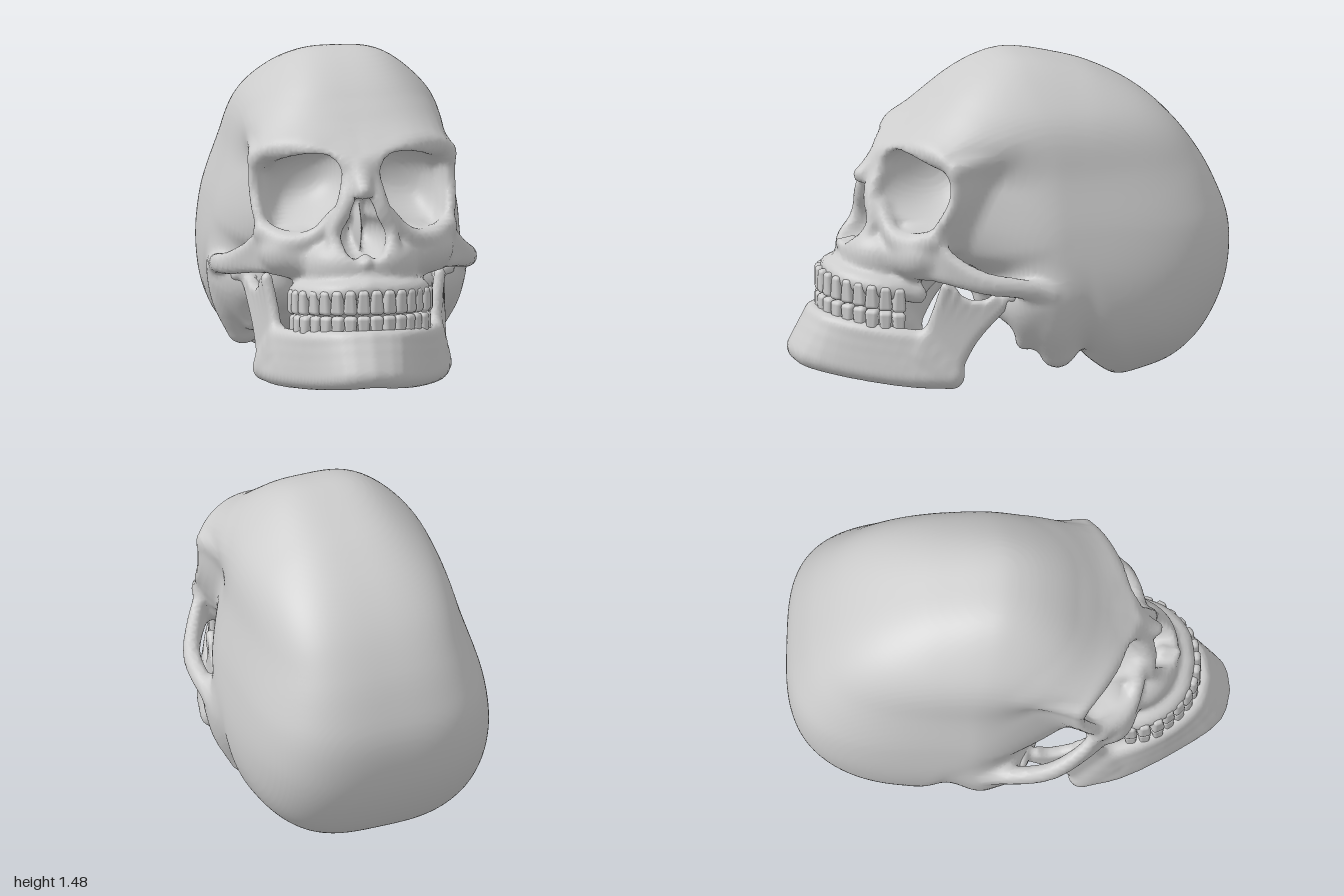
import * as THREE from 'three';
import { RoundedBoxGeometry } from 'three/addons/geometries/RoundedBoxGeometry.js';

const bone = new THREE.MeshStandardMaterial({ color: 0xcccccc });
bone.name = 'bone grey';

// ---- solid-shape helpers: each gives a signed distance (negative inside) ----
const join = (a, b, k) => {
  const h = Math.max(k - Math.abs(a - b), 0) / k;
  return Math.min(a, b) - h * h * k / 4;
};
const cut = (a, b, k) => -join(-a, b, k);
const smooth = (a, b, v) => THREE.MathUtils.smoothstep(v, a, b);
const blob = (x, y, z, rx, ry, rz, p = 2) =>
  (Math.pow(Math.abs(x / rx) ** p + Math.abs(y / ry) ** p + Math.abs(z / rz) ** p, 1 / p) - 1) * Math.min(rx, ry, rz);

// Rounded bar along a smooth curve, radius running from r0 to r1
function bar(points, r0, r1 = r0) {
  const n = points.length > 2 ? 12 : 1;
  const c = new THREE.CatmullRomCurve3(points.map(p => new THREE.Vector3(...p))).getPoints(n);
  const ball = new THREE.Sphere().setFromPoints(c);
  return (x, y, z) => {
    const far = Math.hypot(x - ball.center.x, y - ball.center.y, z - ball.center.z) - ball.radius - Math.max(r0, r1);
    if (far > 0.2) return far;
    let best = Infinity;
    for (let i = 0; i < n; i++) {
      const a = c[i], b = c[i + 1];
      const dx = b.x - a.x, dy = b.y - a.y, dz = b.z - a.z;
      const px = x - a.x, py = y - a.y, pz = z - a.z;
      const t = Math.min(1, Math.max(0, (px * dx + py * dy + pz * dz) / (dx * dx + dy * dy + dz * dz)));
      best = Math.min(best, Math.hypot(px - t * dx, py - t * dy, pz - t * dz) - r0 - (r1 - r0) * (i + t) / n);
    }
    return best;
  };
}

// Bars laid side by side between two edge curves, making a rounded plate
function plate(edgeA, edgeB, rA, rB, count) {
  const bars = [];
  for (let i = 0; i < count; i++) {
    const t = i / (count - 1);
    bars.push(bar(edgeA.map((p, j) => p.map((v, k) => v + (edgeB[j][k] - v) * t)), rA + (rB - rA) * t));
  }
  return (x, y, z) => bars.reduce((d, b) => join(d, b(x, y, z), 0.03), 9);
}

// Skin a solid slice by slice: one vertex per crossed cell, one quad per crossed edge
function skin(solid, min, max, step) {
  const n = min.map((v, i) => Math.ceil((max[i] - v) / step) + 1);
  const stride = [1, n[0], n[0] * n[1]];
  const value = new Float32Array(n[0] * n[1] * n[2]);
  const vertexOf = new Int32Array(value.length).fill(-1);
  const each = (from, to, fn) => {
    for (let k = from; k < n[2] - to; k++)
      for (let j = from; j < n[1] - to; j++)
        for (let i = from; i < n[0] - to; i++) fn(i, j, k, i + j * stride[1] + k * stride[2]);
  };
  each(0, 0, (i, j, k, id) => {
    value[id] = solid(Math.abs(min[0] + i * step), min[1] + j * step, min[2] + k * step);
  });
  const position = [], index = [];
  each(0, 1, (i, j, k, id) => {
    const sum = [0, 0, 0];
    let hits = 0;
    for (let c = 0; c < 8; c++) for (let a = 0; a < 3; a++) {
      if (c >> a & 1) continue;
      const o = [c & 1, c >> 1 & 1, c >> 2 & 1];
      const p = id + o[0] + o[1] * stride[1] + o[2] * stride[2];
      const v0 = value[p], v1 = value[p + stride[a]];
      if ((v0 < 0) === (v1 < 0)) continue;
      o[a] = v0 / (v0 - v1);
      o.forEach((v, q) => { sum[q] += v; });
      hits++;
    }
    if (!hits) return;
    vertexOf[id] = position.length / 3;
    [i, j, k].forEach((v, q) => position.push(min[q] + (v + sum[q] / hits) * step));
  });
  each(1, 1, (i, j, k, id) => {
    for (let a = 0; a < 3; a++) {
      const inside = value[id] < 0;
      if (inside === (value[id + stride[a]] < 0)) continue;
      const sb = stride[(a + 1) % 3], sc = stride[(a + 2) % 3];
      const q = [id - sb - sc, id - sc, id, id - sb].map(c => vertexOf[c]);
      if (!inside) q.reverse();
      index.push(q[0], q[1], q[2], q[0], q[2], q[3]);
    }
  });
  const g = new THREE.BufferGeometry();
  g.setAttribute('position', new THREE.Float32BufferAttribute(position, 3));
  g.setIndex(index);
  g.computeVertexNormals();
  return g;
}

// ---- braincase: side outline (z, y) swept around a middle point, with a width for each height ----
const CZ = -0.25, CY = 0.75;
const outline = [[.45, .75], [.5, .95], [.49, 1.1], [.4, 1.225], [.3, 1.335], [.2, 1.41], [.1, 1.46], [0, 1.485],
  [-.1, 1.48], [-.25, 1.447], [-.4, 1.4], [-.6, 1.295], [-.75, 1.17], [-.87, 1.01], [-.94, .87], [-.985, .74],
  [-.995, .62], [-.975, .46], [-.92, .31], [-.83, .17], [-.72, .075], [-.57, .02], [-.46, .005], [-.37, .06],
  [-.29, .13], [-.15, .19], [-.03, .27], [.06, .39], [.18, .53], [.35, .62]];
const radius = new Float32Array(362).fill(0.7);
const ring = new THREE.CatmullRomCurve3(outline.map(p => new THREE.Vector3(p[0] - CZ, p[1] - CY, 0)), true).getPoints(2000);
const degrees = (v, u) => (Math.atan2(v, u) * 180 / Math.PI + 360) % 360;
for (let i = 0; i < 2000; i++) {
  const a = degrees(ring[i].y, ring[i].x), b = degrees(ring[i + 1].y, ring[i + 1].x);
  for (let d = Math.ceil(a); d <= b && b - a < 90; d++)
    radius[d] = THREE.MathUtils.lerp(ring[i].length(), ring[i + 1].length(), (d - a) / (b - a || 1));
}
const widths = new THREE.SplineCurve([.51, .575, .584, .553, .498, .472, .36].map((w, i) => new THREE.Vector2(i * 0.25, w)))
  .getPoints(300).map(p => p.y);
function braincase(x, y, z) {
  const a = degrees(y - CY, z - CZ), i = Math.floor(a);
  const rho = Math.hypot(y - CY, z - CZ) / (radius[i] + (radius[i + 1] - radius[i]) * (a - i));
  const h = Math.min(299.9, Math.max(0, y * 200)), j = Math.floor(h);
  const w = (widths[j] + (widths[j + 1] - widths[j]) * (h - j))
    * (1 - 0.18 * smooth(-0.15, 0.3, z) * (1 - smooth(0.95, 1.2, y)));
  return (Math.pow(rho ** 3.3 + (x / w) ** 3.3, 1 / 3.3) - 1) * 0.55;
}

// ---- face bones, given for one side and mirrored ----
const brow = plate([[.435, 1.05, .335], [.4, 1.095, .37], [.25, 1.118, .455], [.1, 1.075, .53], [0, 1.05, .55]],
  [[.35, 1.13, .1], [.32, 1.16, .18], [.23, 1.18, .25], [.1, 1.18, .31], [0, 1.18, .32]], .034, .045, 5);
const socketWall = plate([[.445, 1.07, .335], [.446, .92, .338], [.435, .8, .4], [.405, .7, .45]],
  [[.385, 1.09, .14], [.345, .92, .13], [.33, .8, .15], [.32, .7, .25]], .026, .045, 6);
const lowerRim = bar([[.42, .74, .43], [.31, .71, .54], [.21, .74, .58], [.12, .83, .6]], .042, .033);
const cheekArch = plate([[.42, .73, .42], [.48, .65, .35], [.547, .578, .22], [.565, .545, .08], [.55, .51, -.08]],
  [[.38, .58, .46], [.455, .565, .37], [.542, .535, .22], [.565, .52, .08], [.55, .48, -.08]], .027, .027, 4);
const upperRidge = bar([[.275, .455, .47], [.27, .485, .6], [.215, .5, .71], [.125, .515, .78], [0, .53, .802]], .042);
const noseEdge = bar([[.05, .99, .58], [.085, .88, .64], [.135, .76, .645], [.115, .65, .69]], .03, .026);
const noseBridge = bar([[0, 1.035, .565], [0, .955, .665]], .05, .034);
const noseSpine = bar([[0, .64, .7], [0, .648, .765]], .035, .015);
const mastoid = bar([[.46, .42, -.07], [.46, .32, -.1], [.42, .19, -.14]], .11, .075);
const earBase = bar([[.48, .46, .0], [.45, .34, .01], [.4, .24, .01]], .06, .035);
const pterygoid = bar([[.14, .62, .35], [.17, .46, .43]], .07, .04);

function skull(x, y, z) {
  let d = join(braincase(x, y, z), mastoid(x, y, z), .13);
  d = join(d, earBase(x, y, z), .08);
  if (z > -0.3) {
    d = join(d, blob(x - .33, y - .42, z + .02, .18, .13, .16), .06);
    d = join(d, blob(x, y - .82, z - .45, .2, .28, .23), .05);
    d = join(d, blob(x, y - .61, z - .5, .27, .15, .27, 2.3), .05);
    d = join(d, blob(x - .29, y - .65, z - .46, .15, .12, .125), .05);
    d = join(d, brow(x, y, z), .1);
    d = join(d, join(pterygoid(x, y, z), upperRidge(x, y, z), .03), .05);
    // eye sockets, nose opening and palate
    d = cut(d, blob(x - .26 - .22 * (z - .45), y - .925 + .28 * (x - .27), z - .48, .212, .167, .28, 2.4), .02);
    d = cut(d, blob(x, y - .74, z - .66, .108, .105, .24), .015);
    d = cut(d, blob(x, y - .83, z - .66, .068, .105, .2), .015);
    d = cut(d, blob(x, y - .45, z - .55, .2, .09, .2), .03);
    for (const part of [socketWall, lowerRim, cheekArch, noseEdge, noseBridge, noseSpine]) d = join(d, part(x, y, z), .028);
    d = join(d, blob(x, y - .76, z - .46, .016, .13, .13), .02);
  }
  return cut(d, blob(x, y - .12, z + .28, .1, .13, .12), .04);
}

// ---- lower jaw ----
const jawBody = plate([[.395, .095, .34], [.355, .1, .5], [.225, .125, .75], [.1, .155, .92], [0, .165, .945]],
  [[.35, .26, .46], [.3, .275, .6], [.22, .295, .745], [.115, .31, .85], [0, .315, .877]], .056, .043, 4);
const ramus = plate([[.4, .1, .34], [.41, .27, .25], [.43, .44, .1]],
  [[.36, .2, .48], [.37, .36, .41], [.395, .51, .365]], .029, .026, 6);
const condyle = bar([[.39, .47, .08], [.48, .475, .07]], .032);
function jaw(x, y, z) {
  let d = cut(ramus(x, y, z), blob(x - .42, y - .535, z - .225, .15, .09, .1), .02);
  d = join(d, condyle(x, y, z), .03);
  return join(d, jawBody(x, y, z), .04);
}

// ---- teeth along a curved row, on a bite line that drops toward the back ----
function toothRow(name, inset, side, height) {
  const row = new THREE.Group();
  row.name = name;
  const half = [[.295, .53], [.28, .63], [.22, .74], [.12, .82]];
  const pts = [...half.map(p => [-p[0], p[1]]), [0, .845], ...half.slice().reverse()];
  const arch = new THREE.CatmullRomCurve3(pts.map(p => new THREE.Vector3(p[0] * (1 - inset), 0, p[1])));
  const count = 16, w = arch.getLength() / count;
  for (let i = 0; i < count; i++) {
    const u = (i + 0.5) / count, p = arch.getPointAt(u), t = arch.getTangentAt(u);
    const g = new RoundedBoxGeometry(w, height, Math.abs(u - 0.5) > 0.3 ? .075 : .05, 2, .018);
    const v = g.attributes.position;
    // crowns narrow toward the root
    for (let k = 0; k < v.count; k++) v.setX(k, v.getX(k) * (0.9 - 0.35 * side * v.getY(k) / height));
    const tooth = new THREE.Mesh(g, bone);
    tooth.name = 'tooth';
    tooth.position.set(p.x, .38 + .14 * (p.z - .55) + side * (height / 2 + .003), p.z);
    tooth.rotation.y = Math.atan2(-t.z, t.x);
    row.add(tooth);
  }
  return row;
}

export function createModel() {
  const model = new THREE.Group();
  model.name = 'skull';
  const cranium = new THREE.Mesh(skin(skull, [-.704, -.06, -1.07], [.704, 1.56, .9], .016), bone);
  cranium.name = 'craniumAndFace';
  const lowerJaw = new THREE.Mesh(skin(jaw, [-.6, -.02, -.02], [.6, .6, 1.06], .012), bone);
  lowerJaw.name = 'lowerJaw';
  model.add(cranium, lowerJaw, toothRow('upperTeeth', 0, 1, .11), toothRow('lowerTeeth', .03, -1, .09));
  return model;
}
